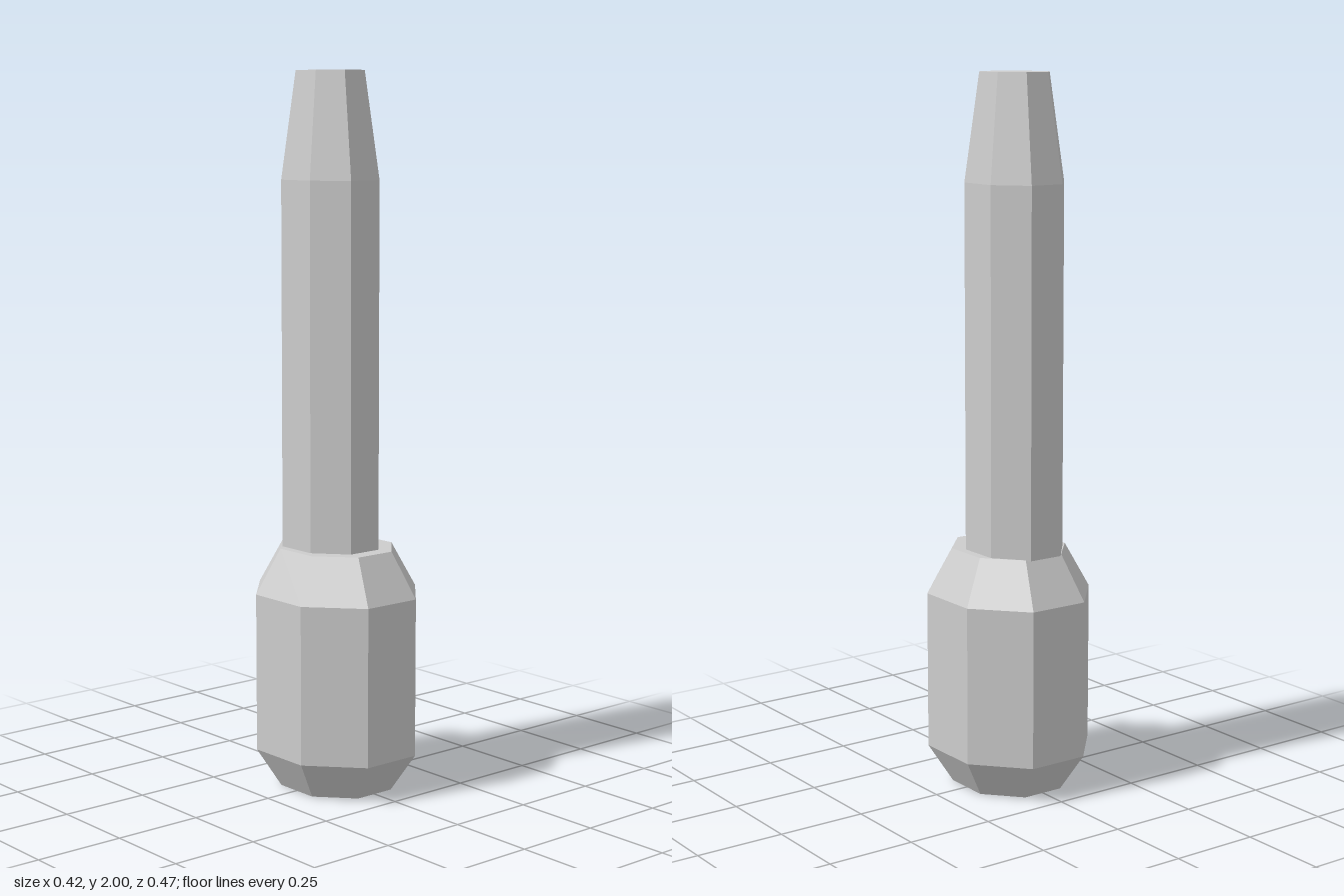
import * as THREE from 'three';

// Eight-sided solid with flat sides facing the axes; profile is [half-width, height] from bottom to top
function octagonalSolid(name, profile, depthRatio, material) {
  const toCorner = 1 / Math.cos(Math.PI / 8);
  const points = profile.map(([r, y]) => new THREE.Vector2(r * toCorner, y));
  const geometry = new THREE.LatheGeometry(points, 8, Math.PI / 8);
  geometry.scale(1, 1, depthRatio);
  const mesh = new THREE.Mesh(geometry.toNonIndexed(), material);
  mesh.geometry.computeVertexNormals();
  mesh.name = name;
  return mesh;
}

export function createModel() {
  const model = new THREE.Group();
  model.name = 'handledRod';
  const grey = new THREE.MeshStandardMaterial({ color: 0xcccccc });
  grey.name = 'light grey';
  grey.flatShading = true;

  // Bulbous grip with chamfered ends
  model.add(octagonalSolid('grip', [
    [0, 0], [0.147, 0], [0.211, 0.11], [0.211, 0.557], [0.147, 0.684], [0, 0.684],
  ], 1.117, grey));

  // Long shaft with a tapered tip, set slightly towards the back
  const shaft = octagonalSolid('shaft', [
    [0, 0.682], [0.123, 0.682], [0.123, 1.705], [0.086, 2], [0, 2],
  ], 1.2, grey);
  shaft.position.z = -0.027;
  model.add(shaft);

  return model;
}
